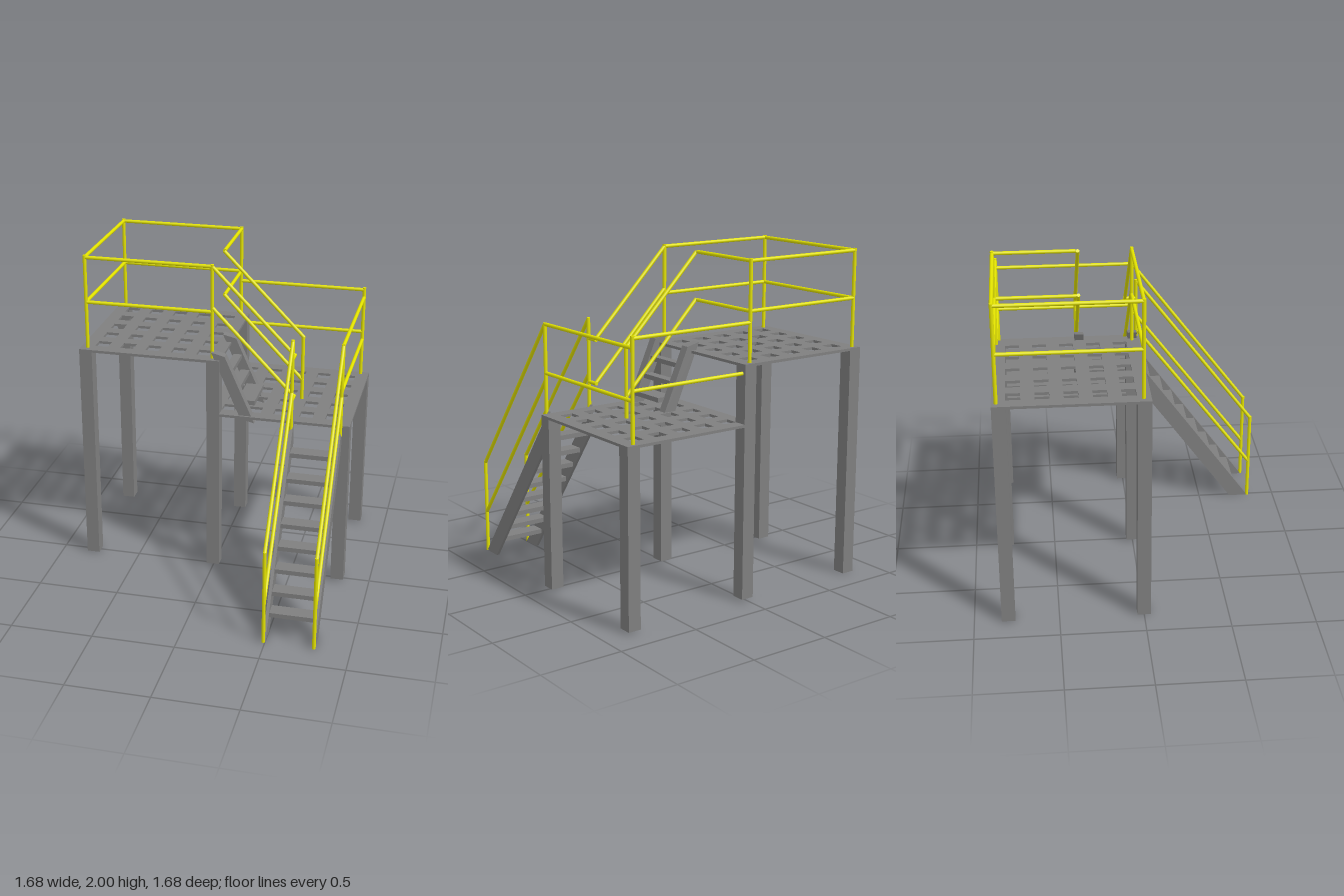
import * as THREE from 'three';

const grey = new THREE.MeshStandardMaterial({ color: 0x7f7f7f });
const yellow = new THREE.MeshStandardMaterial({ color: 0xe2e200 });
const R = 0.011; // rail tube radius

function add(parent, name, geometry, material) {
  const mesh = new THREE.Mesh(geometry, material);
  mesh.name = name;
  parent.add(mesh);
  return mesh;
}

// Box given by its min and max on each axis
function box(parent, name, x0, x1, y0, y1, z0, z1) {
  const mesh = add(parent, name, new THREE.BoxGeometry(x1 - x0, y1 - y0, z1 - z0), grey);
  mesh.position.set((x0 + x1) / 2, (y0 + y1) / 2, (z0 + z1) / 2);
}

// Round tube between two points
function tube(parent, name, a, b) {
  const p = new THREE.Vector3(...a), q = new THREE.Vector3(...b);
  const dir = q.clone().sub(p);
  const mesh = add(parent, name, new THREE.CylinderGeometry(R, R, dir.length(), 12), yellow);
  mesh.position.copy(p).add(q).multiplyScalar(0.5);
  mesh.quaternion.setFromUnitVectors(new THREE.Vector3(0, 1, 0), dir.normalize());
}

function post(parent, x, z, y0, y1) {
  tube(parent, 'railPost', [x, y0, z], [x, y1, z]);
}

// Flat outline pushed out along z, centred on its thickness
function plate(points, thickness, holes = []) {
  const shape = new THREE.Shape(points.map(p => new THREE.Vector2(...p)));
  shape.holes = holes.map(h => new THREE.Path(h.map(p => new THREE.Vector2(...p))));
  const g = new THREE.ExtrudeGeometry(shape, { depth: thickness, bevelEnabled: false });
  return g.translate(0, 0, -thickness / 2);
}

// Square deck with a 5 x 5 grid of square holes
function deck(parent, name, cx, top) {
  const square = (x, y, h) => [[x - h, y - h], [x + h, y - h], [x + h, y + h], [x - h, y + h]];
  const holes = [];
  for (let i = -2; i <= 2; i++)
    for (let j = -2; j <= 2; j++) holes.push(square(i * 0.16, j * 0.16, 0.041).reverse());
  const mesh = add(parent, name, plate(square(0, 0, 0.44), 0.016, holes), grey);
  mesh.rotation.x = -Math.PI / 2;
  mesh.position.set(cx, top - 0.008, -0.4);
}

export function createModel() {
  const model = new THREE.Group();
  model.name = 'accessPlatform';
  const group = name => {
    const g = new THREE.Group();
    g.name = name;
    model.add(g);
    return g;
  };

  // Decks and square legs
  const frame = group('platformFrame');
  deck(frame, 'upperDeck', -0.4, 1.41);
  deck(frame, 'lowerDeck', 0.4, 1.064);
  for (const [x, y0, y1] of [[-0.8, 0, 1.409], [0, 0.015, 1.409], [0.8, 0.01, 1.063]])
    for (const z of [0, -0.8]) box(frame, 'leg', x - 0.04, x + 0.04, y0, y1, z - 0.04, z + 0.04);

  // Upper guard rail: front, outer side, back and part of the inner side
  const upper = group('upperRailing');
  const xL = -0.797, xM = -0.012, zF = -0.004, zB = -0.813, zS = -0.318;
  for (const [x, z] of [[xL, zF], [xL, zB], [xM, zB], [xM, zF]]) post(upper, x, z, 1.4, 1.997);
  for (const y of [1.984, 1.703]) {
    tube(upper, 'frontRail', [xL, y, zF], [xM, y, zF]);
    tube(upper, 'sideRail', [xL, y, zF], [xL, y, zB]);
    tube(upper, 'backRail', [xL, y, zB], [xM, y, zB]);
    tube(upper, 'innerRail', [xM, y, zB], [xM, y, zS - R]);
  }

  // Lower guard rail: back and outer side
  const lower = group('lowerRailing');
  const xA = 0.49, xR = 0.788, zT = 0.066, zE = 0.826;
  post(lower, xR, zB, 1.055, 1.652);
  for (const y of [1.638, 1.355]) tube(lower, 'backRail', [xM, y, zB], [xR, y, zB]);
  for (const y of [1.587, 1.3]) tube(lower, 'sideRail', [xR, y, zB], [xR, y, zT]);

  // Short steps between the decks
  const steps = group('shortSteps');
  for (const z of [0, -0.319]) {
    const outline = [[-0.013, 1.456], [0.17, 1.04], [0.255, 1.02], [0.07, 1.436]];
    add(steps, 'stepStringer', plate(outline, 0.054), grey).position.z = z;
  }
  for (const [x0, x1, y] of [[0.055, 0.107, 1.32], [0.1, 0.158, 1.22], [0.14, 0.247, 1.13]])
    box(steps, 'stepTread', x0, x1, y - 0.014, y + 0.014, -0.295, -0.025);
  for (const [z, drop] of [[zF, 0], [zS, 0.022]]) {
    tube(steps, 'stepHandrail', [xM, 1.984, z], [xA, 1.472, z]);
    tube(steps, 'stepMidRail', [xM, 1.73 - drop, z], [xA, 1.21 - drop, z]);
  }
  post(steps, xA - 0.003, zS, 1.055, 1.478);
  for (const y of [1.472, 1.21]) tube(steps, 'railConnector', [xA, y, zF - R], [xA, y, zT]);

  // Main stair with sloping handrails on both sides
  const stair = group('mainStair');
  for (const [x, inward] of [[xA, 0.003], [xR, -0.003]]) {
    const outline = [[-0.825, 0], [-0.705, 0], [-0.04, 0.91], [-0.04, 1.075]];
    const stringer = add(stair, 'stairStringer', plate(outline, 0.018), grey);
    stringer.rotation.y = Math.PI / 2;
    stringer.position.x = x + inward;
    post(stair, x, zT, 1.01, 1.595);
    post(stair, x, zE, 0, 0.597);
    tube(stair, 'stairHandrail', [x, 1.587, zT], [x, 0.588, zE]);
    tube(stair, 'stairMidRail', [x, 1.26, zT], [x, 0.26, zE]);
  }
  // Treads sit inside the slope of the stringers
  for (const y of [0.122, 0.223, 0.33, 0.439, 0.548, 0.66, 0.769, 0.894]) {
    const z = 0.813 - 0.73 * y;
    box(stair, 'stairTread', xA, xR, y - 0.014, y + 0.014, z - 0.09, z);
  }
  return model;
}
